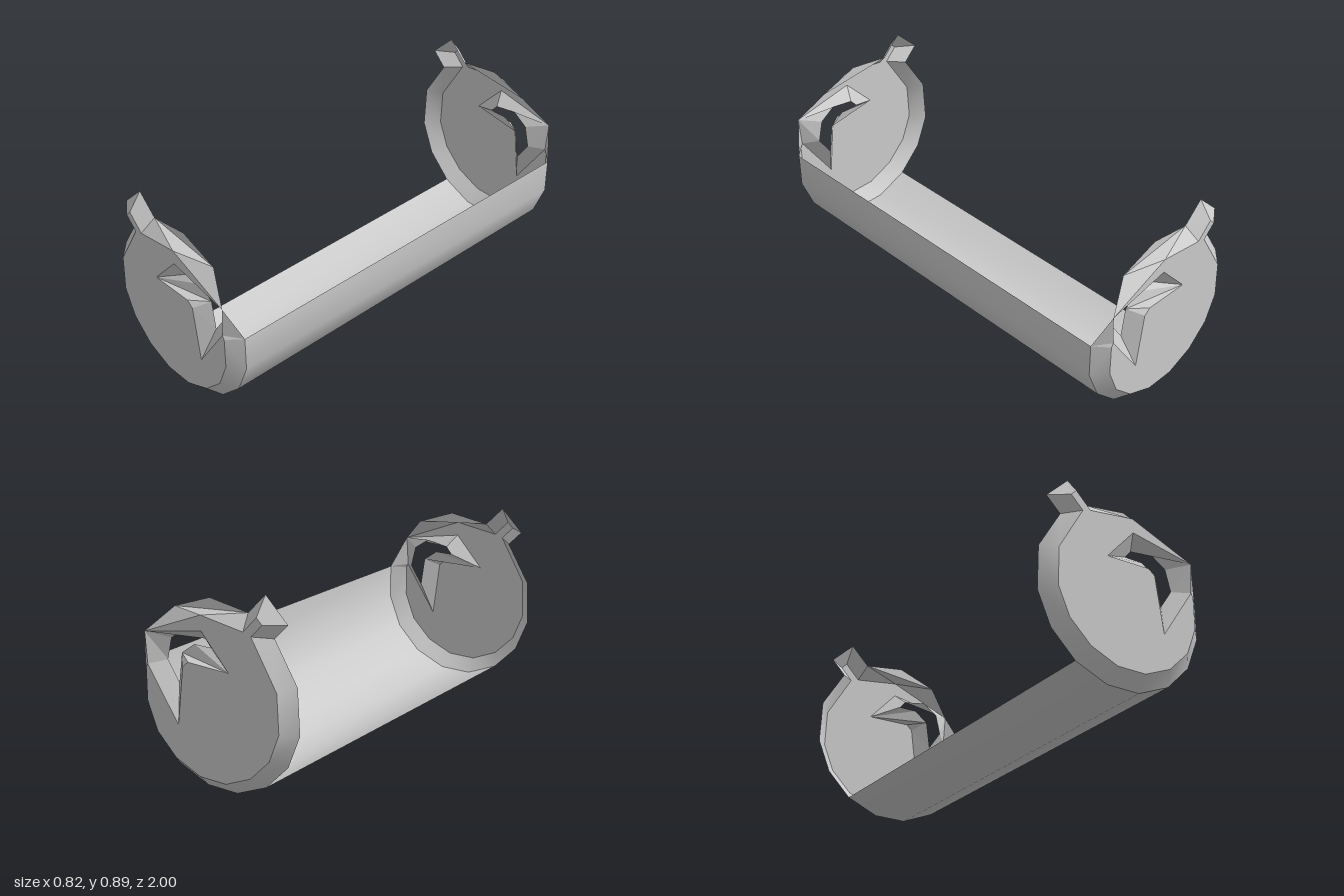
import * as THREE from 'three';

const RIM_Z = 0.94, FACE_Z = 1;

// Strip of faces between two profiles lying at depths za and zb
function band(name, material, a, b, za, zb, smooth) {
  const pos = [], index = [], n = a.length;
  a.forEach(p => pos.push(p[0], p[1], za));
  b.forEach(p => pos.push(p[0], p[1], zb));
  const same = (p, q) => p[0] === q[0] && p[1] === q[1];
  for (let i = 0; i < n - 1; i++) {
    if (!same(a[i], a[i + 1])) index.push(i, n + i, i + 1);
    if (!same(b[i], b[i + 1])) index.push(i + 1, n + i, n + i + 1);
  }
  let geo = new THREE.BufferGeometry();
  geo.setAttribute('position', new THREE.Float32BufferAttribute(pos, 3));
  geo.setIndex(index);
  if (!smooth) geo = geo.toNonIndexed();
  geo.computeVertexNormals();
  const mesh = new THREE.Mesh(geo, material);
  mesh.name = name;
  return mesh;
}

// Flat plate outlined by points at a fixed depth
function plate(name, material, points, z) {
  const shape = new THREE.Shape(points.map(p => new THREE.Vector2(p[0], p[1])));
  const mesh = new THREE.Mesh(new THREE.ShapeGeometry(shape).translate(0, 0, z), material);
  mesh.name = name;
  return mesh;
}

export function createModel() {
  const grey = new THREE.MeshStandardMaterial({ color: 0xcccccc, side: THREE.DoubleSide });
  grey.name = 'light grey';
  const model = new THREE.Group();
  model.name = 'trough';

  // Round rim, clockwise from the trough's upper edge to the tab
  const rimOuter = [[0.41, 0.495], [0.41, 0.33], [0.35, 0.18], [0.235, 0.065], [0.08, 0], [-0.08, 0],
    [-0.235, 0.065], [-0.35, 0.18], [-0.412, 0.33], [-0.403, 0.533], [-0.292, 0.715]];
  const rimInner = [[0.35, 0.487], [0.35, 0.34], [0.3, 0.213], [0.2, 0.115], [0.07, 0.06], [-0.07, 0.06],
    [-0.2, 0.115], [-0.3, 0.213], [-0.352, 0.34], [-0.345, 0.515], [-0.22, 0.725]];

  // Square tab and the sloping top edge
  const tabOuter = [[-0.292, 0.715], [-0.36, 0.783], [-0.25, 0.89], [-0.16, 0.8]];
  const tabInner = [[-0.22, 0.725], [-0.277, 0.783], [-0.25, 0.81], [-0.18, 0.738]];
  const crestL = [-0.16, 0.8], crestR = [0.23, 0.763], top = [0.04, 0.77], shoulder = [0.35, 0.647];

  // Bevelled walls of the curled opening
  const tip = [-0.1, 0.55], notch = [0.18, 0.267], lip = [0.34, 0.505];
  const holeBack = [[0.18, 0.67], [0.07, 0.65], [0.04, 0.615], [0.13, 0.615], [0.2, 0.565], [0.2, 0.565],
    [0.2, 0.565], [0.22, 0.43], [0.28, 0.52], [0.28, 0.52], [0.255, 0.62], [0.18, 0.67]];
  const holeFront = [shoulder, [0.04, 0.703], tip, tip, tip, [0.115, 0.555],
    [0.145, 0.53], notch, lip, shoulder, shoulder, shoulder];

  // Dished end caps, mirrored front to back
  for (const side of [1, -1]) {
    const cap = new THREE.Group();
    cap.name = side > 0 ? 'frontCap' : 'backCap';
    const face = [...rimInner, ...tabInner.slice(1), top, shoulder, [0.04, 0.703], tip,
      [0.115, 0.555], [0.145, 0.53], notch, lip];
    cap.add(
      plate('capFace', grey, face, FACE_Z),
      band('capRim', grey, rimOuter, rimInner, RIM_Z, FACE_Z, true),
      band('capTab', grey, tabOuter, tabInner, RIM_Z, FACE_Z),
      band('capTopEdge', grey, [crestL, crestL, crestR, crestR],
        [tabInner[3], top, top, shoulder], RIM_Z, FACE_Z),
      plate('capCrest', grey, [crestL, crestR, [0.04, 0.83]], RIM_Z),
      band('capShoulder', grey, [rimOuter[0], rimOuter[0], rimOuter[0]],
        [shoulder, lip, rimInner[0]], RIM_Z, FACE_Z),
      band('openingWall', grey, holeBack, holeFront, RIM_Z, FACE_Z));
    cap.scale.z = side;
    model.add(cap);
  }

  // Curved sheet joining the two caps
  const sheet = rimOuter.slice(0, 7);
  model.add(band('troughSheet', grey, sheet, sheet, -RIM_Z, RIM_Z, true));
  return model;
}
